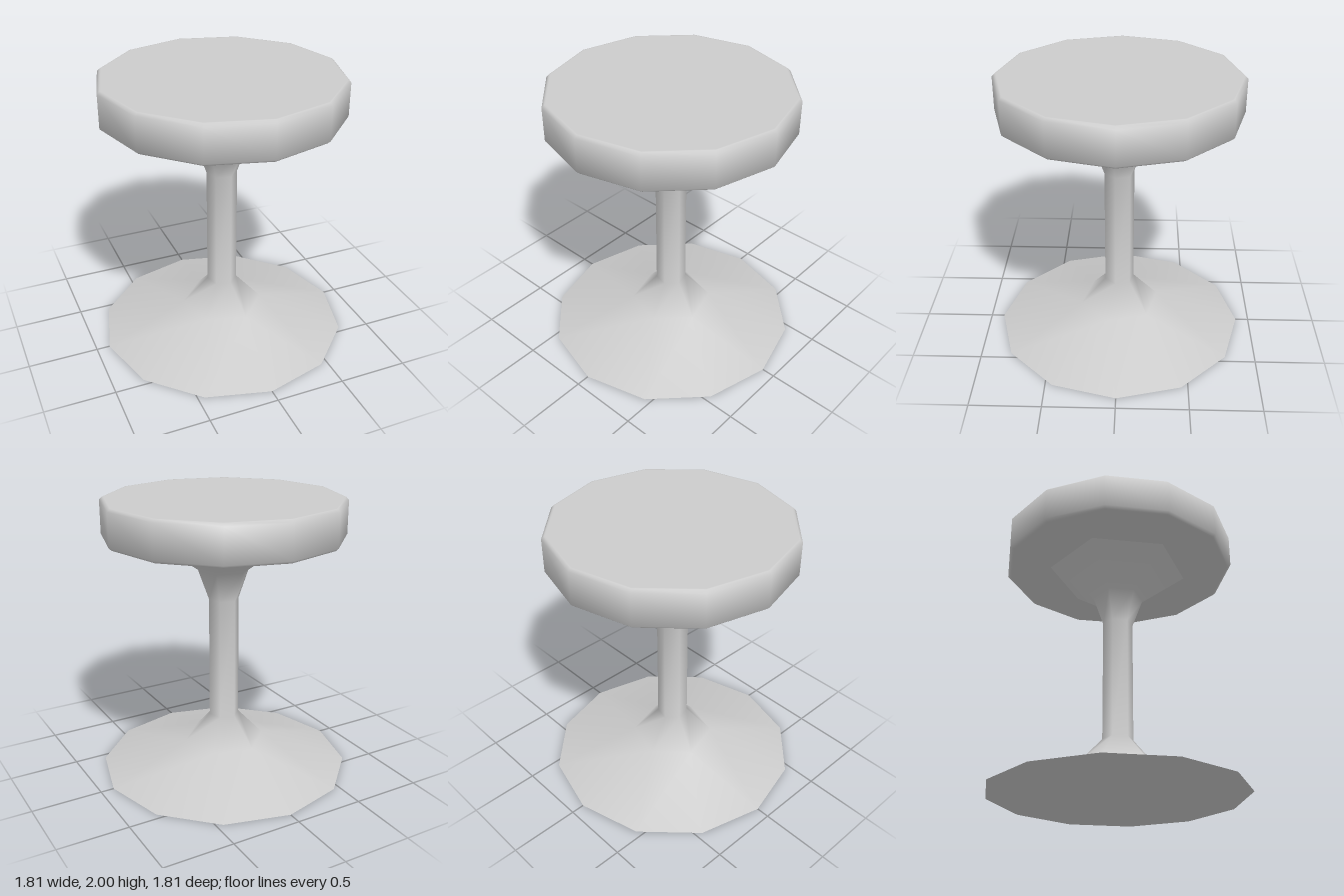
import * as THREE from 'three';
import { toCreasedNormals } from 'three/addons/utils/BufferGeometryUtils.js';

const material = new THREE.MeshStandardMaterial({ color: 0xcccccc });

// Regular ring of points at height y; angle 0 faces +z
function ring(sides, radius, y, offset = 0) {
  return Array.from({ length: sides }, (_, i) => {
    const a = THREE.MathUtils.degToRad(offset) + (i / sides) * Math.PI * 2;
    return [radius * Math.sin(a), y, radius * Math.cos(a)];
  });
}

// Twelve-sided foot blending into a six-sided flared column
function pedestalGeometry() {
  const profile = [[0.295, 0.19], [0.109, 0.39], [0.109, 1.28], [0.187, 1.5], [0.515, 1.73]];
  const positions = ring(12, 0.905, 0);
  profile.forEach(([r, y]) => positions.push(...ring(6, r, y, 15)));
  const index = [];
  const quad = (a, b, c, d) => index.push(a, b, c, a, c, d);
  for (let i = 0; i < 6; i++) {
    const n = (i + 1) % 6;
    // Foot: one triangle and one quad per column side
    index.push(2 * i, 2 * i + 1, 12 + i);
    quad(2 * i + 1, (2 * i + 2) % 12, 12 + n, 12 + i);
    // Column and upper flare
    for (let k = 0; k < profile.length - 1; k++) {
      const lo = 12 + 6 * k, hi = lo + 6;
      quad(lo + i, lo + n, hi + n, hi + i);
    }
  }
  const g = new THREE.BufferGeometry();
  g.setAttribute('position', new THREE.Float32BufferAttribute(positions.flat(), 3));
  g.setIndex(index);
  g.computeVertexNormals();
  return g;
}

// Twelve-sided cushion with softly bevelled rims
function seatGeometry() {
  const points = [
    [0, 1.727], [0.82, 1.727], [0.83, 1.727], [0.85, 1.745],
    [0.85, 1.98], [0.83, 2], [0.82, 2], [0, 2],
  ].map(([r, y]) => new THREE.Vector2(r, y));
  return toCreasedNormals(new THREE.LatheGeometry(points, 12), THREE.MathUtils.degToRad(55));
}

export function createModel() {
  const model = new THREE.Group();
  model.name = 'stool';
  const add = (name, geometry) => {
    const mesh = new THREE.Mesh(geometry, material);
    mesh.name = name;
    model.add(mesh);
    return mesh;
  };
  add('seat', seatGeometry());
  add('pedestal', pedestalGeometry());
  // Flat underside of the foot
  add('footUnderside', new THREE.CircleGeometry(0.905, 12)).rotation.x = Math.PI / 2;
  return model;
}
